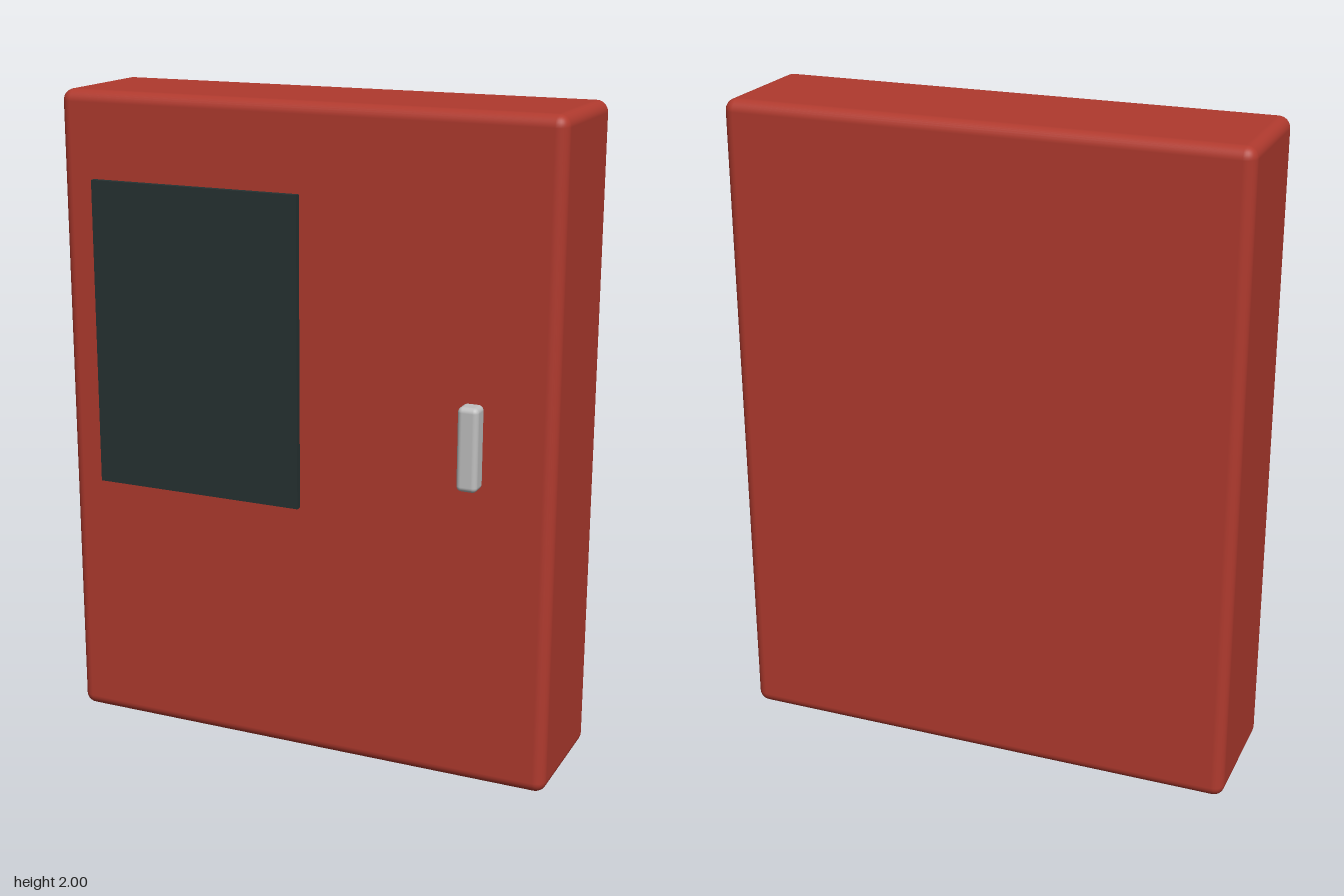
import * as THREE from 'three';
import { RoundedBoxGeometry } from 'three/addons/geometries/RoundedBoxGeometry.js';

const material = (name, color) => {
  const m = new THREE.MeshStandardMaterial({ color });
  m.name = name;
  return m;
};

export function createModel() {
  const red = material('red paint', 0xb03a2e);
  const dark = material('dark glass', 0x263232);
  const metal = material('light metal', 0xc0c0c0);

  const model = new THREE.Group();
  model.name = 'cabinet';
  const add = (name, geometry, mat, x, y, z) => {
    const mesh = new THREE.Mesh(geometry, mat);
    mesh.name = name;
    mesh.position.set(x, y, z);
    model.add(mesh);
  };

  // Softly rounded cabinet body
  add('body', new RoundedBoxGeometry(1.574, 2, 0.418, 4, 0.035), red, 0, 1, -0.031);

  // Raised dark panel on the upper right of the door
  add('windowPanel', new THREE.BoxGeometry(0.676, 0.945, 0.03), dark, -0.338, 1.265, 0.182);

  // Upright door handle
  add('handle', new RoundedBoxGeometry(0.063, 0.25, 0.063, 3, 0.016), metal, 0.545, 1.057, 0.209);

  return model;
}
